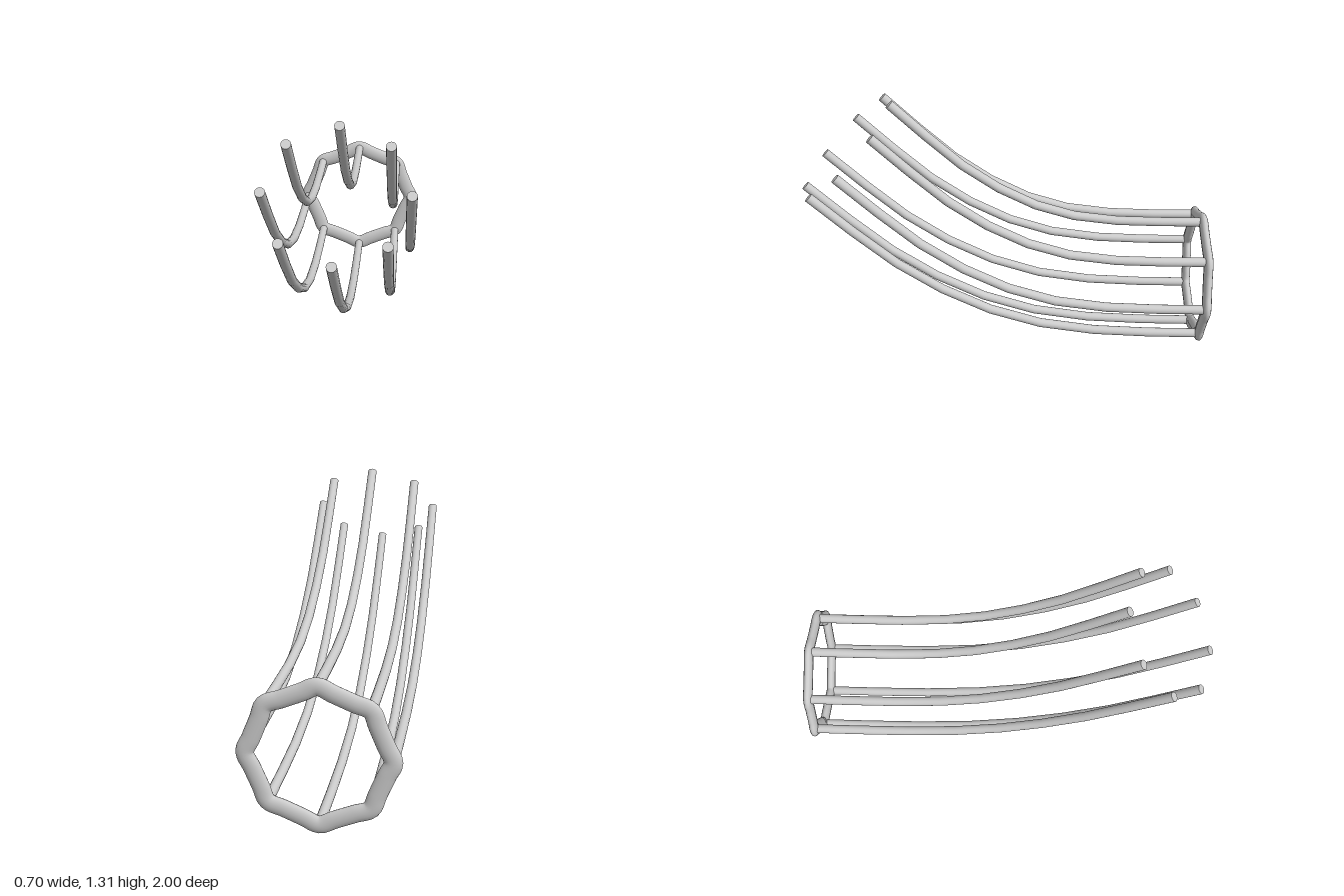
import * as THREE from 'three';

const COUNT = 8;        // rods around the ring
const RADIUS = 0.31;    // ring corner radius
const CENTRE_Y = 0.355;
const ROD = 0.0225;

// Centre line of the bundle: z, y and bend angle in degrees
const SPINE = [
  [-0.97, 0.355, 0], [-0.745, 0.356, 6], [-0.49, 0.366, 11.5],
  [-0.24, 0.402, 18], [-0.013, 0.476, 25], [0.2, 0.588, 31.5],
  [0.4, 0.73, 36.5], [0.585, 0.9, 41], [0.765, 1.078, 45],
];

// Bent line whose joints are used directly as tube sections
class Polyline extends THREE.Curve {
  constructor(points) {
    super();
    this.points = points;
  }
  getPoint(t, target = new THREE.Vector3()) {
    const n = this.points.length - 1;
    const i = Math.min(Math.floor(t * n + 1e-6), n - 1);
    return target.lerpVectors(this.points[i], this.points[i + 1], t * n - i);
  }
  getPointAt(u, target) {
    return this.getPoint(u, target);
  }
  getTangentAt(u, target = new THREE.Vector3()) {
    const n = this.points.length - 1;
    const i = Math.round(u * n);
    return target.subVectors(this.points[Math.min(i + 1, n)], this.points[Math.max(i - 1, 0)]).normalize();
  }
}

function makeRod(angle, material) {
  const rod = new THREE.Group();
  rod.name = 'rod';
  const x = RADIUS * Math.cos(angle);
  const h = RADIUS * Math.sin(angle);
  const points = SPINE.map(([z, y, bend]) => {
    const a = THREE.MathUtils.degToRad(bend);
    return new THREE.Vector3(x, y + h * Math.cos(a), z - h * Math.sin(a));
  });
  const path = new Polyline(points);
  const shaft = new THREE.Mesh(new THREE.TubeGeometry(path, points.length - 1, ROD, 16), material);
  shaft.name = 'rodShaft';
  rod.add(shaft);

  // Flat end discs
  for (const u of [0, 1]) {
    const cap = new THREE.Mesh(new THREE.CircleGeometry(ROD, 16), material);
    cap.name = 'rodEnd';
    const out = path.getTangentAt(u).multiplyScalar(u ? 1 : -1);
    cap.position.copy(path.getPointAt(u));
    cap.quaternion.setFromUnitVectors(new THREE.Vector3(0, 0, 1), out);
    rod.add(cap);
  }
  return rod;
}

function makeRing(material) {
  // Octagon with softened corners
  const corner = (i) => {
    const a = (i / COUNT) * Math.PI * 2;
    return new THREE.Vector3(Math.cos(a), Math.sin(a), 0).multiplyScalar(RADIUS);
  };
  const points = [];
  for (let i = 0; i < COUNT; i++) {
    const a = corner(i);
    const b = corner(i + 1);
    points.push(a, a.clone().lerp(b, 0.3).multiplyScalar(0.997), a.clone().lerp(b, 0.7).multiplyScalar(0.997));
  }
  const path = new THREE.CatmullRomCurve3(points, true);
  const ring = new THREE.Mesh(new THREE.TubeGeometry(path, 128, 0.04, 16, true), material);
  ring.name = 'ring';
  ring.scale.z = 0.55; // oval section, thinner front to back
  ring.position.set(0, CENTRE_Y, -0.978);
  return ring;
}

export function createModel() {
  const model = new THREE.Group();
  model.name = 'ringWithBentRods';
  const material = new THREE.MeshStandardMaterial({ color: 0xcccccc });
  model.add(makeRing(material));
  for (let i = 0; i < COUNT; i++) model.add(makeRod((i / COUNT) * Math.PI * 2, material));
  return model;
}
